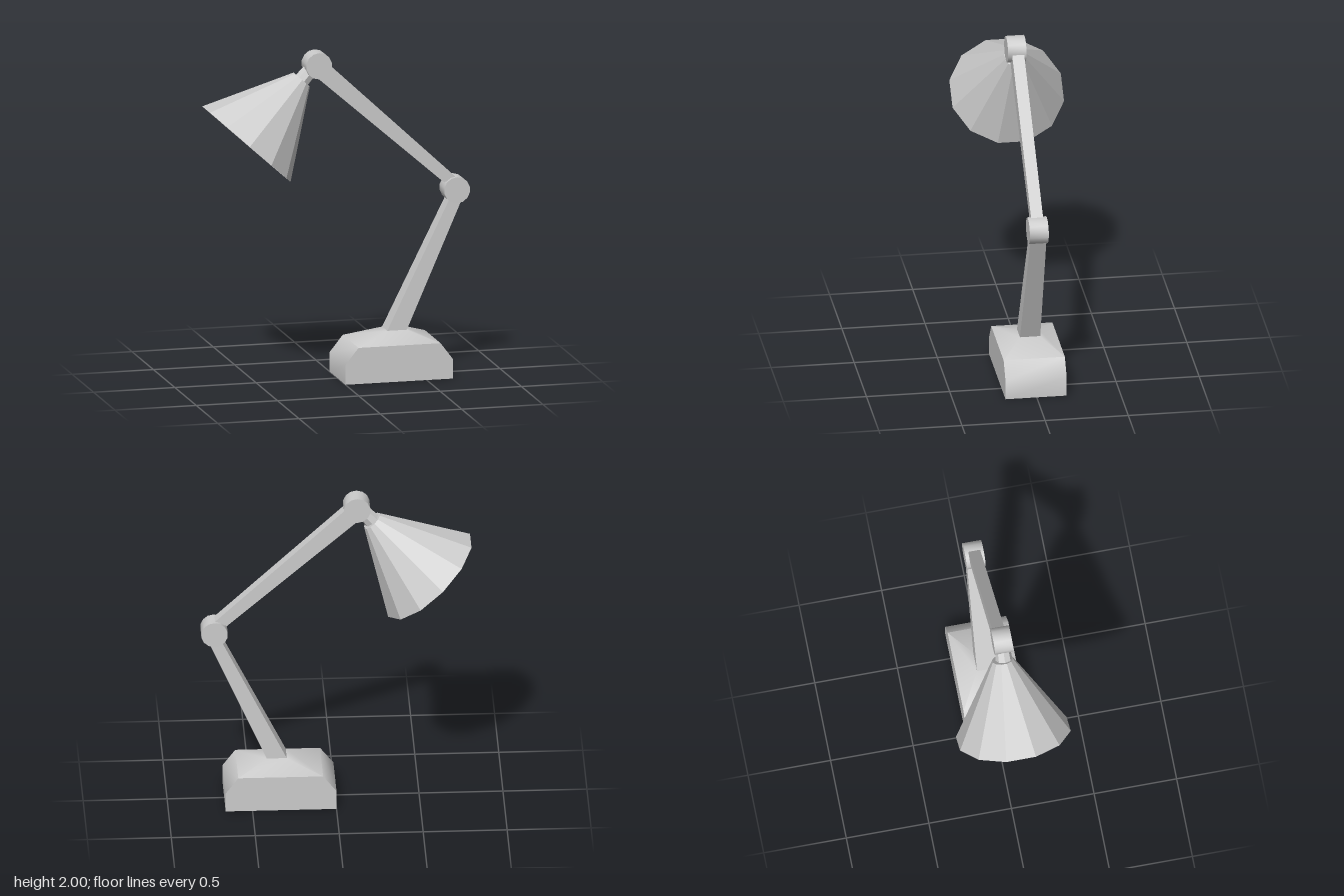
import * as THREE from 'three';
import { toCreasedNormals } from 'three/addons/utils/BufferGeometryUtils.js';

const grey = new THREE.MeshStandardMaterial({ color: 0xcccccc });
const greyThin = new THREE.MeshStandardMaterial({ color: 0xcccccc, side: THREE.DoubleSide });
const greyFacet = new THREE.MeshStandardMaterial({ color: 0xcccccc, side: THREE.DoubleSide, flatShading: true });

function part(name, geometry, material, parent) {
  const mesh = new THREE.Mesh(geometry, material);
  mesh.name = name;
  parent.add(mesh);
  return mesh;
}

// Skin over rectangular sections [y, x0, x1, z0, z1], listed from bottom to top, open at both ends
function loft(sections) {
  const points = [], faces = [];
  sections.forEach(([y, x0, x1, z0, z1], r) => {
    points.push(x0, y, z1, x1, y, z1, x1, y, z0, x0, y, z0);
    if (r === 0) return;
    for (let i = 0; i < 4; i++) {
      const j = (i + 1) % 4, lo = (r - 1) * 4, hi = r * 4;
      faces.push(lo + i, lo + j, hi + j, lo + i, hi + j, hi + i);
    }
  });
  const geometry = new THREE.BufferGeometry();
  geometry.setAttribute('position', new THREE.Float32BufferAttribute(points, 3));
  geometry.setIndex(faces);
  return toCreasedNormals(geometry, 0.78);
}

// Round hinge lying along z
function joint(name, x, y, z0, z1, parent) {
  const geometry = new THREE.CylinderGeometry(0.08, 0.08, z1 - z0, 14);
  geometry.rotateX(Math.PI / 2);
  const mesh = part(name, toCreasedNormals(geometry, 0.6), grey, parent);
  mesh.position.set(x, y, (z0 + z1) / 2);
}

export function createModel() {
  const lamp = new THREE.Group();
  lamp.name = 'deskLamp';

  // Hollow base with chamfered ends and a hipped top
  part('base', loft([
    [0, 0, 0.66, -0.18, 0.188],
    [0.12, 0, 0.66, -0.18, 0.188],
    [0.22, 0.08, 0.585, -0.18, 0.188],
    [0.285, 0.29, 0.41, -0.058, 0.064],
  ]), greyThin, lamp);

  // Tapering lower arm
  part('lowerArm', loft([
    [0.285, 0.29, 0.41, -0.058, 0.064],
    [1.1, 0.693, 0.77, -0.044, 0.051],
  ]), greyThin, lamp);

  // Upper arm, its side outline extruded across z
  const outline = new THREE.Shape([
    [-0.135, 1.847], [0.645, 1.165], [0.72, 1.192], [-0.055, 1.918],
  ].map(([x, y]) => new THREE.Vector2(x, y)));
  const upper = new THREE.ExtrudeGeometry(outline, { depth: 0.072, bevelEnabled: false });
  upper.translate(0, 0, -0.03);
  part('upperArm', upper, grey, lamp);

  joint('elbowJoint', 0.72, 1.117, -0.052, 0.062, lamp);
  joint('headJoint', -0.13, 1.923, -0.044, 0.067, lamp);

  // Tilted head: its axis runs down local -y, starting at the narrow end of the shade
  const head = new THREE.Group();
  head.name = 'head';
  head.position.set(-0.22, 1.833, 0);
  head.rotation.z = -0.737;
  lamp.add(head);

  const shade = new THREE.CylinderGeometry(0.064, 0.347, 0.506, 12, 1, true);
  shade.rotateY(Math.PI / 12);
  part('shade', shade, greyFacet, head).position.y = -0.253;

  const cap = new THREE.CylinderGeometry(0.064, 0.064, 0.006, 12);
  cap.rotateY(Math.PI / 12);
  part('shadeCap', cap, greyFacet, head).position.y = -0.003;

  const neck = new THREE.CylinderGeometry(0.045, 0.05, 0.09, 8);
  part('neck', neck, greyFacet, head).position.set(0, 0.045, 0.008);

  return lamp;
}
